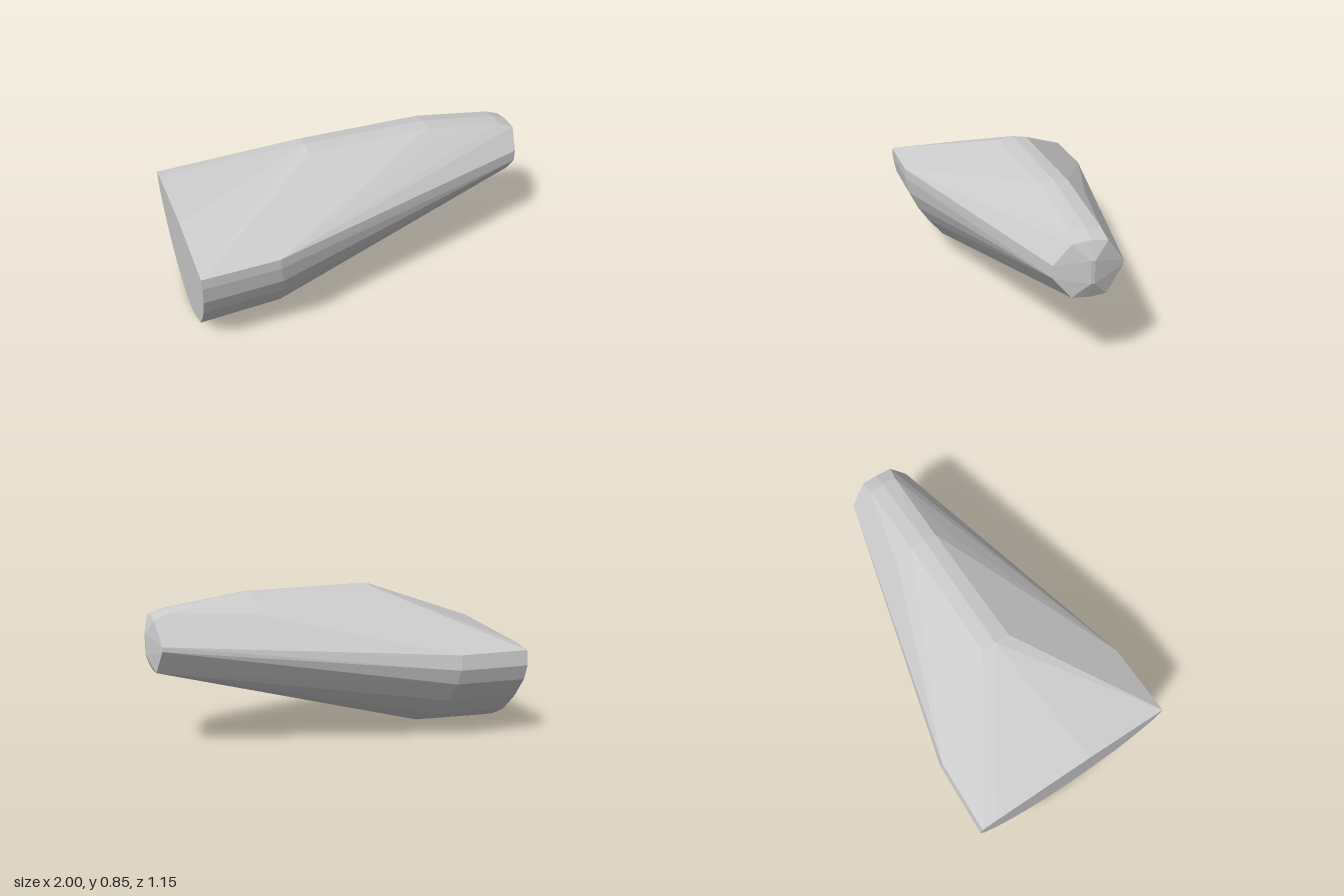
import * as THREE from 'three';
import { ConvexGeometry } from 'three/addons/geometries/ConvexGeometry.js';

// A cross-section at x, from [z, y] pairs
const section = (x, pairs) => pairs.map(([z, y]) => new THREE.Vector3(x, y, z));

export function createModel() {
  const group = new THREE.Group();

  // Rounded belly outline, from the front rim under to the back rim
  const belly = [
    [0.575, 0.6], [0.575, 0.54], [0.558, 0.44], [0.51, 0.335], [0.45, 0.245], [0.365, 0.14],
    [0.2, 0.05], [0.12, 0.018], [-0.02, 0.002], [-0.13, 0.018], [-0.25, 0.06], [-0.36, 0.12],
    [-0.47, 0.23], [-0.55, 0.345], [-0.577, 0.43], [-0.565, 0.515],
  ];

  // Flat end of the wide part, with its sloping upper edge
  const wideEnd = section(-1, [...belly, [-0.48, 0.535], [0.1, 0.601]]);

  // The belly narrows slightly before the taper; lower points sit further along
  const shoulder = belly.map(([z, y]) =>
    new THREE.Vector3(-0.6 + 0.05 * (0.6 - y) / 0.6, 0.6 + (y - 0.6) * 0.965, z * 0.985));

  // Ridge along the top
  const ridge = [
    ...section(-0.27, [[0.065, 0.842], [-0.02, 0.855], [-0.1, 0.842]]),
    ...section(0.43, [[0.12, 0.79], [0.05, 0.838], [-0.02, 0.848], [-0.1, 0.836], [-0.2, 0.75]]),
    ...section(0.88, [[0.06, 0.773], [-0.02, 0.782], [-0.1, 0.77]]),
  ];

  // Octagonal narrow end and its shallow cap
  const narrowEnd = [
    ...section(0.965, [[0.075, 0.742], [-0.02, 0.75], [-0.105, 0.738], [-0.105, 0.46], [-0.02, 0.453], [0.07, 0.462]]),
    ...section(0.945, [[0.16, 0.635], [0.16, 0.57], [-0.197, 0.615], [-0.197, 0.59]]),
    ...section(1, [[-0.01, 0.66], [-0.03, 0.66], [-0.01, 0.54], [-0.03, 0.54]]),
  ];

  const shell = new THREE.Mesh(
    new ConvexGeometry([...wideEnd, ...shoulder, ...ridge, ...narrowEnd]),
    new THREE.MeshStandardMaterial({ color: 0xcccccc, flatShading: true }),
  );
  shell.name = 'taperedShell';
  group.add(shell);
  return group;
}
